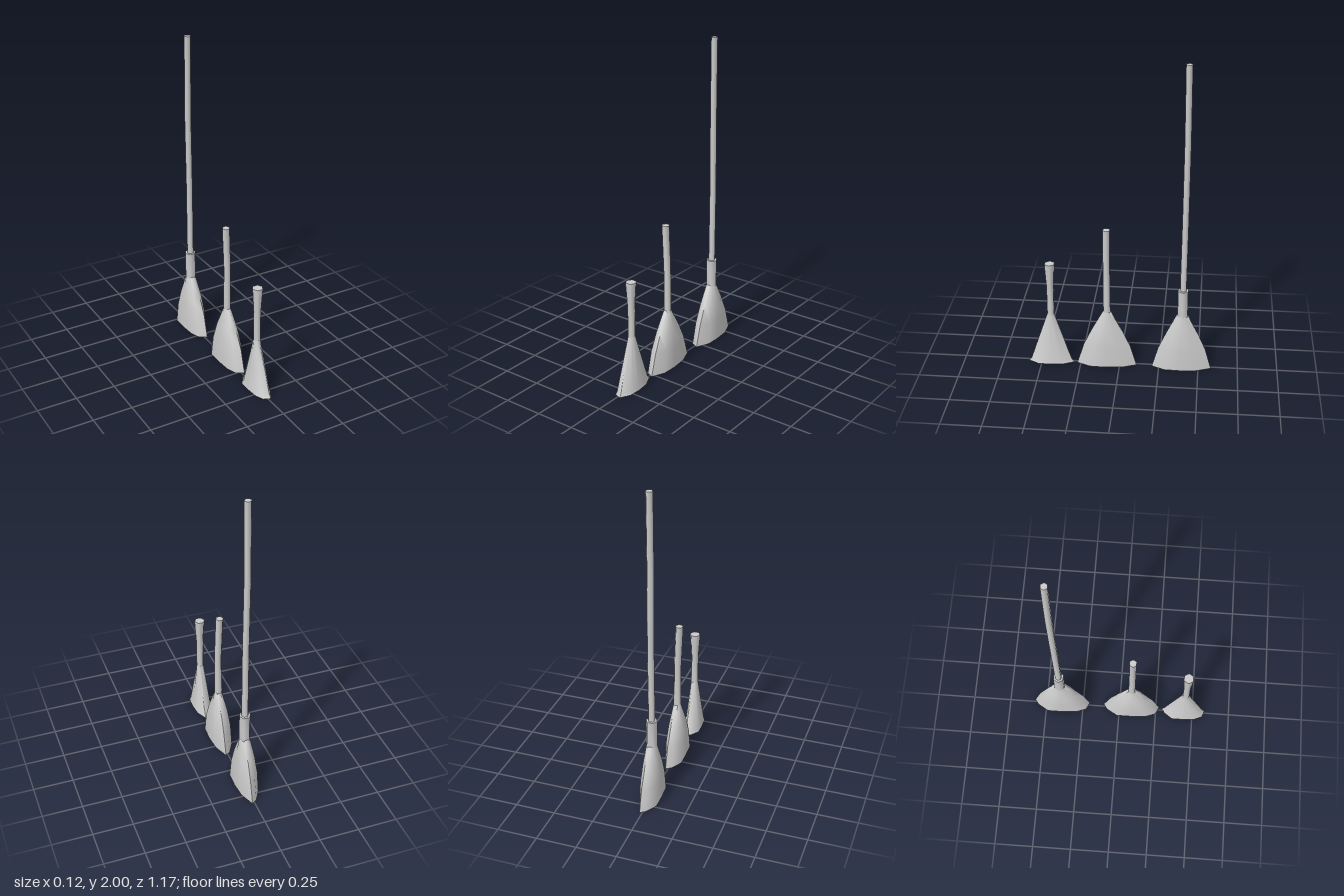
import * as THREE from 'three';
import { toCreasedNormals } from 'three/addons/utils/BufferGeometryUtils.js';

const material = new THREE.MeshStandardMaterial({ color: 0xcccccc });

// Uneven ten-sided outline of a brush foot, as [x, z] fractions of its half width and half length
const OUTLINE = [
  [0.25, -1], [-0.33, -0.87], [-1, -0.5], [-1, 0.02], [-0.9, 0.53],
  [-0.5, 0.88], [0.3, 1], [0.93, 0.57], [1, 0.06], [0.85, -0.5],
];

// Skin a stack of equal-sized rings (counterclockwise from above) and cap both ends
function loft(name, rings) {
  const n = rings[0].length;
  const points = rings.flat();
  const index = [];
  for (let r = 0; r < rings.length - 1; r++) {
    for (let i = 0; i < n; i++) {
      const j = (i + 1) % n;
      const a = r * n + i, b = r * n + j;
      index.push(a, b, a + n, b, b + n, a + n);
    }
  }
  const top = (rings.length - 1) * n;
  for (let i = 1; i < n - 1; i++) {
    index.push(0, i + 1, i, top, top + i, top + i + 1);
  }
  const geometry = new THREE.BufferGeometry().setFromPoints(points);
  geometry.setIndex(index);
  const mesh = new THREE.Mesh(toCreasedNormals(geometry, 1.2), material);
  mesh.name = name;
  return mesh;
}

// Six-sided rod through sections [y, radius, x offset, z offset]
function rod(name, sections) {
  return loft(name, sections.map(([y, r, x = 0, z = 0]) =>
    Array.from({ length: 6 }, (_, i) => {
      const a = (i * Math.PI) / 3;
      return new THREE.Vector3(x + r * Math.cos(a), y, z - r * Math.sin(a));
    })));
}

// Brush: sections [y, x spread, z spread] blend the foot outline (1) into a hexagonal neck (0)
function brush(name, halfX, halfZ, neck, sections) {
  return loft(name, sections.map(([y, tx, tz]) => OUTLINE.map(([u, v]) => {
    const a = Math.atan2(v, u);
    const third = Math.PI / 3;
    const local = ((a + 2 * Math.PI) % third) - third / 2;
    const r = (neck * Math.cos(third / 2)) / Math.cos(local);
    return new THREE.Vector3(
      THREE.MathUtils.lerp(r * Math.cos(a), u * halfX, tx), y,
      THREE.MathUtils.lerp(r * Math.sin(a), v * halfZ, tz));
  })));
}

function broom(name, z, ...parts) {
  const group = new THREE.Group();
  group.name = name;
  group.position.z = z;
  group.add(...parts);
  return group;
}

export function createModel() {
  const model = new THREE.Group();
  model.name = 'brooms';
  const bell = [[0, 1, 1], [0.14, 0.95, 0.75], [0.25, 0.65, 0.44], [0.38, 0, 0]];

  // Tall broom with a collar and a long, slightly bowed handle
  model.add(broom('tallBroom', -0.393,
    brush('tallBrush', 0.06, 0.188, 0.035, bell),
    rod('collar', [[0.37, 0.036], [0.55, 0.036]]),
    rod('longHandle', [[0.54, 0.022, 0, 0], [1.03, 0.022, 0.001, -0.003],
      [1.52, 0.022, -0.003, -0.004], [2, 0.022, 0, 0]])));

  // Hand broom whose handle leans over at the top
  model.add(broom('handBroom', 0.082,
    brush('handBrush', 0.06, 0.19, 0.026, bell),
    rod('bentHandle', [[0.37, 0.025], [0.66, 0.024, 0, 0.002], [0.94, 0.025, -0.011, 0.003]])));

  // Small whisk with a flared foot and a flared grip
  model.add(broom('whisk', 0.438,
    brush('whiskBrush', 0.056, 0.147, 0.024,
      [[0, 1, 1], [0.02, 0.88, 0.87], [0.35, 0, 0]]),
    rod('flaredHandle', [[0.34, 0.024], [0.54, 0.024], [0.69, 0.034], [0.7, 0.034]])));

  return model;
}
